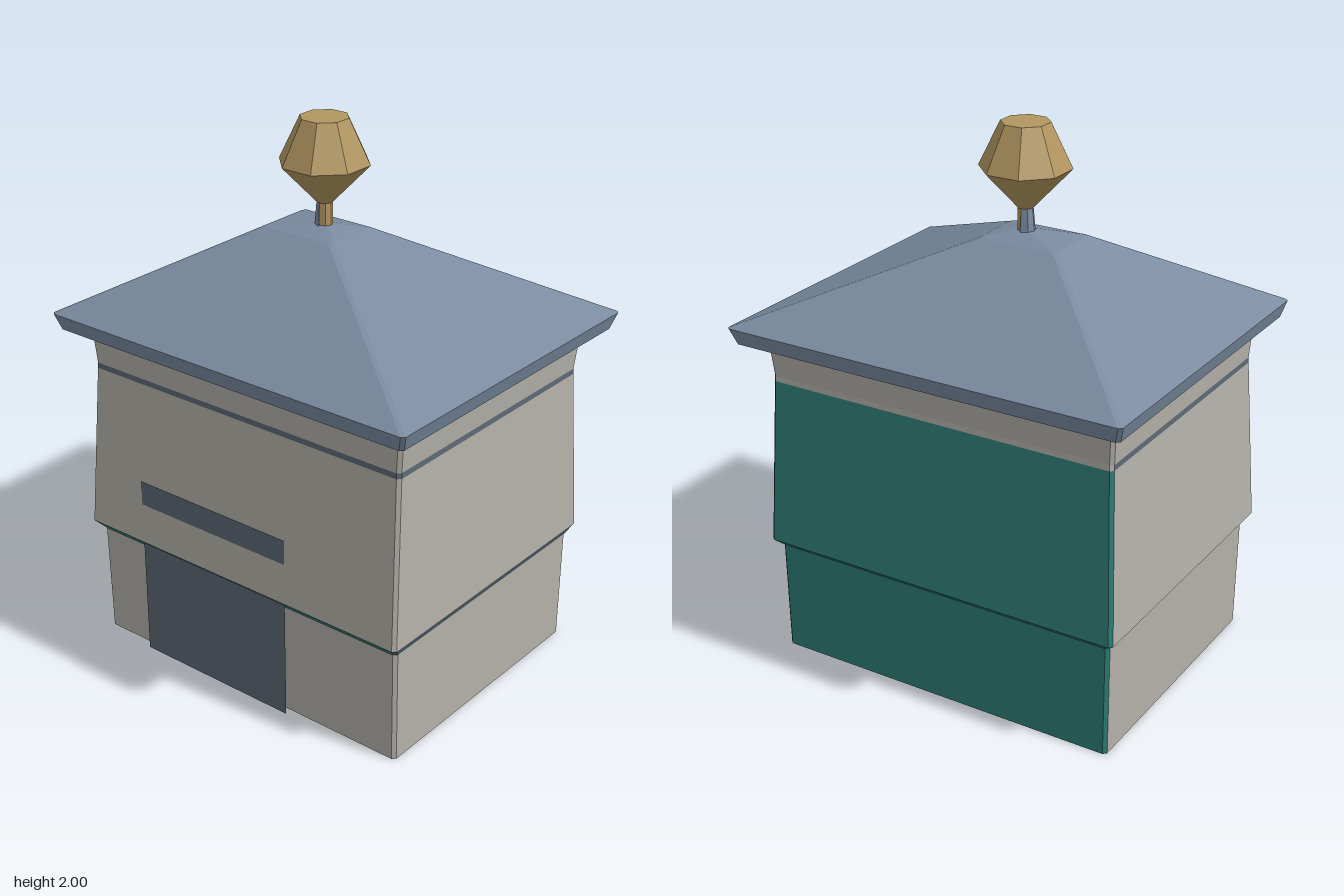
import * as THREE from 'three';

const WALL = 0xb4b1aa, SLATE = 0x5c6873, ROOF = 0x7a8ba0, TEAL = 0x2f7f78, GOLD = 0xb29660;

const material = (color) => new THREE.MeshStandardMaterial({ color, flatShading: true, side: THREE.DoubleSide });

// Rectangle with small cut corners, starting at the front and going round by way of +x
function ring([y, x0, x1, z0, z1, c]) {
  return [
    [x0 + c, z1], [x1 - c, z1], [x1, z1 - c], [x1, z0 + c],
    [x1 - c, z0], [x0 + c, z0], [x0, z0 + c], [x0, z1 - c],
  ].map(([x, z]) => [x, y, z]);
}

// Joins rings into one mesh per colour; pick(segment, face) returns [name, colour]
function loft(sections, pick) {
  const group = new THREE.Group();
  const parts = new Map();
  const rings = sections.map(ring);
  for (let s = 0; s < rings.length - 1; s++) {
    for (let f = 0; f < 8; f++) {
      const g = (f + 1) % 8;
      const [a, b, c, d] = [rings[s][f], rings[s][g], rings[s + 1][g], rings[s + 1][f]];
      const [name, color] = pick(s, f);
      if (!parts.has(name)) parts.set(name, { color, points: [] });
      parts.get(name).points.push(...a, ...b, ...c, ...a, ...c, ...d);
    }
  }
  for (const [name, { color, points }] of parts) {
    const geometry = new THREE.BufferGeometry();
    geometry.setAttribute('position', new THREE.Float32BufferAttribute(points, 3));
    geometry.computeVertexNormals();
    const mesh = new THREE.Mesh(geometry, material(color));
    mesh.name = name;
    group.add(mesh);
  }
  return group;
}

export function createModel() {
  const model = new THREE.Group();
  model.name = 'pavilion';

  // Walls, open underneath: plinth, ledge, tapering storey, stripe and flared top
  const walls = loft([
    [0, -0.682, 0.672, -0.51, 0.518, 0.012],
    [0.425, -0.685, 0.675, -0.515, 0.524, 0.012],
    [0.46, -0.717, 0.693, -0.555, 0.555, 0.012],
    [1.08, -0.683, 0.675, -0.513, 0.52, 0.012],
    [1.1, -0.682, 0.674, -0.512, 0.519, 0.012],
    [1.225, -0.69, 0.686, -0.522, 0.528, 0.012],
  ], (s, f) => {
    const back = f >= 3 && f <= 5;
    if (back && s < 3) return ['backCladding', TEAL];
    if (s === 1) return f === 0 ? ['frontLedge', TEAL] : ['sideLedges', SLATE];
    if (s === 3 && !back) return ['stripe', SLATE];
    return ['wallPanels', WALL];
  });
  walls.name = 'walls';
  model.add(walls);

  // Upright door sheet; the bulging wall hides its middle and leaves a slot above
  const door = new THREE.Mesh(new THREE.PlaneGeometry(0.67, 0.705), material(SLATE));
  door.name = 'door';
  door.position.set(-0.12, 0.3525, 0.5465);
  model.add(door);

  // Hipped roof with a bevelled eave and an off-centre blunt peak
  const roof = loft([
    [1.22, -0.69, 0.686, -0.525, 0.53, 0.012],
    [1.24, -0.754, 0.749, -0.612, 0.61, 0.012],
    [1.3, -0.772, 0.769, -0.632, 0.63, 0.012],
    [1.6, -0.235, 0.07, -0.112, 0.112, 0.012],
    [1.62, -0.088, -0.01, -0.03, 0.03, 0.01],
    [1.621, -0.05, -0.049, 0, 0, 0],
  ], () => ['roofShell', ROOF]);
  roof.name = 'roof';
  model.add(roof);

  // Finial: a two-tone post carrying a faceted knob
  const finial = new THREE.Group();
  finial.name = 'finial';
  finial.position.x = -0.05;
  const add = (name, geometry, color) => {
    const mesh = new THREE.Mesh(geometry, material(color));
    mesh.name = name;
    finial.add(mesh);
  };
  const post = (start, base) =>
    new THREE.CylinderGeometry(0.028, base, 0.09, 4, 1, true, start, Math.PI).translate(0, 1.66, 0);
  add('postGold', post(Math.PI / 8 - Math.PI / 8, 0.028), GOLD);
  add('postSlate', post(Math.PI, 0.036), ROOF);
  const r = 1 / Math.cos(Math.PI / 8);
  const profile = [[0, 1.7], [0.028, 1.7], [0.15 * r, 1.842], [0.08 * r, 2], [0, 2]]
    .map(([x, y]) => new THREE.Vector2(x, y));
  add('knob', new THREE.LatheGeometry(profile, 8, Math.PI / 8), GOLD);
  model.add(finial);

  return model;
}
